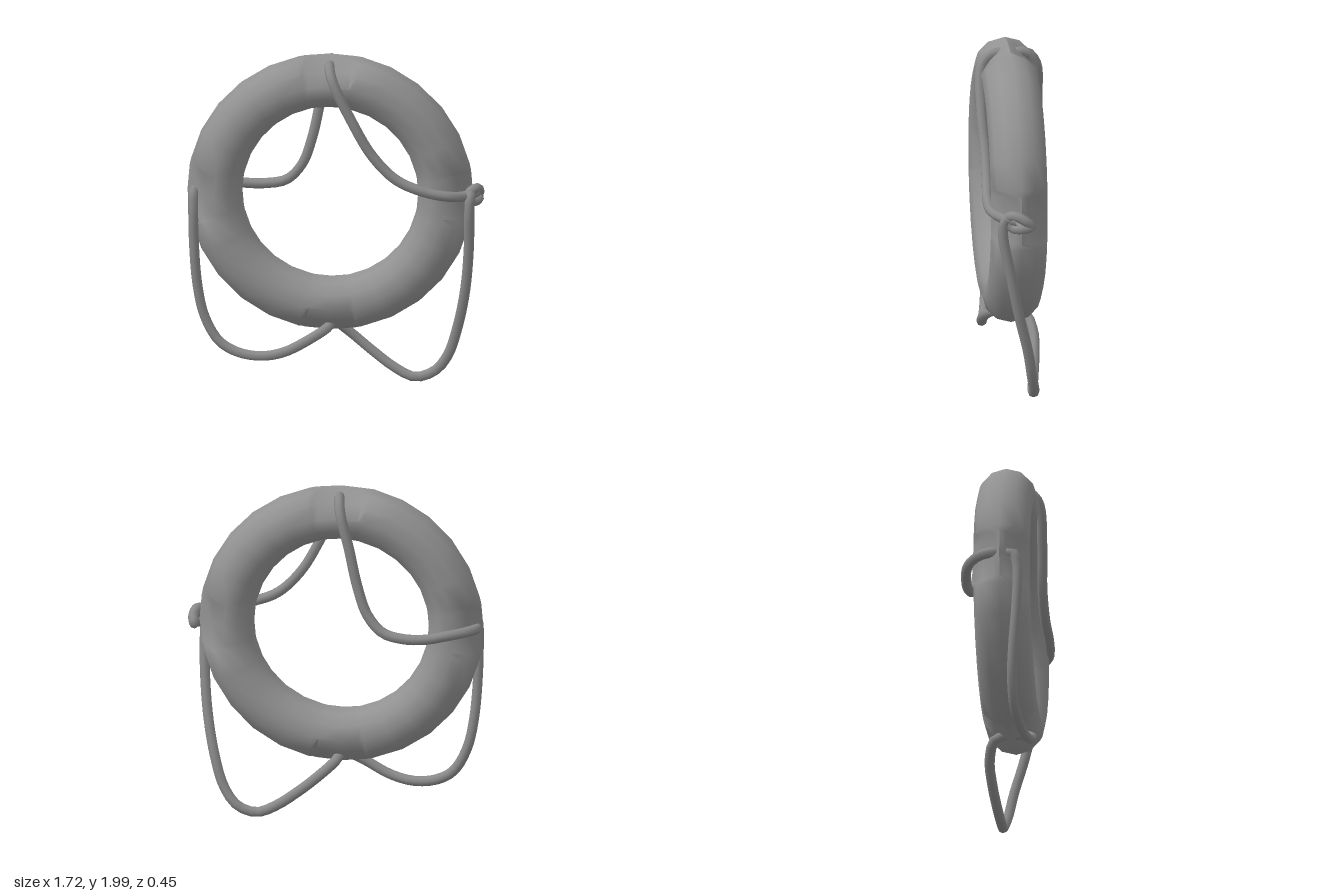
import * as THREE from 'three';
import { toCreasedNormals } from 'three/addons/utils/BufferGeometryUtils.js';

const CENTER = new THREE.Vector3(-0.035, 1.17, 0.015);
const RING_R = 0.67, TUBE_R = 0.16, HALF_DEPTH = 0.165, SIDES = 12;

// Ring with four wedge-shaped rope recesses on its outer rim
function ringGeometry() {
  const offsets = [-12.8, -10, 0, 10, 12.8, 25.5, 38.5, 51.5, 64.5];
  const positions = [], index = [];
  const stations = offsets.length * 4;
  for (let q = 0; q < 4; q++) {
    offsets.forEach((deg) => {
      const u = THREE.MathUtils.degToRad(q * 90 + deg);
      const recessed = Math.abs(deg) < 11;
      for (let j = 0; j < SIDES; j++) {
        const v = (j / SIDES) * Math.PI * 2;
        const c = Math.cos(v), s = Math.sin(v);
        const r = RING_R + TUBE_R * c;
        // recess: the rounded outer half becomes a shallow wedge
        const z = recessed && c > 0.01 ? Math.sign(s) * (1 - c) ** 0.75 : s;
        positions.push(r * Math.cos(u), r * Math.sin(u), (j === 0 ? 0 : z) * HALF_DEPTH);
      }
    });
  }
  for (let i = 0; i < stations; i++) {
    for (let j = 0; j < SIDES; j++) {
      const i2 = (i + 1) % stations, j2 = (j + 1) % SIDES;
      const a = i * SIDES + j, b = i2 * SIDES + j, c = i2 * SIDES + j2, d = i * SIDES + j2;
      index.push(a, b, c, a, c, d);
    }
  }
  const geometry = new THREE.BufferGeometry();
  geometry.setAttribute('position', new THREE.Float32BufferAttribute(positions, 3));
  geometry.setIndex(index);
  return toCreasedNormals(geometry, 1.0);
}

export function createModel() {
  const group = new THREE.Group();
  const material = new THREE.MeshStandardMaterial({ color: 0x929292 });

  const ring = new THREE.Mesh(ringGeometry(), material);
  ring.name = 'ring';
  ring.position.copy(CENTER);
  group.add(ring);

  // Ropes follow smooth curves; their ends sit inside the ring
  const ropeMaterial = new THREE.MeshStandardMaterial({ color: 0x8a8a8a, side: THREE.DoubleSide });
  const addRope = (name, points, closed = false, segments = 40) => {
    const curve = new THREE.CatmullRomCurve3(points.map((p) => new THREE.Vector3(...p)), closed);
    const rope = new THREE.Mesh(new THREE.TubeGeometry(curve, segments, 0.03, 8, closed), ropeMaterial);
    rope.name = name;
    group.add(rope);
  };

  addRope('frontRope', [
    [-0.03, 1.94, 0.01], [-0.035, 1.94, 0.1], [-0.015, 1.88, 0.17], [0.1, 1.64, 0.185],
    [0.22, 1.43, 0.175], [0.36, 1.29, 0.18], [0.52, 1.225, 0.19], [0.66, 1.195, 0.175],
    [0.76, 1.18, 0.1], [0.82, 1.19, 0.04],
  ]);
  addRope('backRope', [
    [-0.03, 1.94, 0.01], [-0.035, 1.945, -0.09], [-0.05, 1.87, -0.15], [-0.1, 1.68, -0.165],
    [-0.15, 1.45, -0.165], [-0.21, 1.28, -0.175], [-0.3, 1.18, -0.19], [-0.42, 1.15, -0.205],
    [-0.55, 1.15, -0.205], [-0.67, 1.17, -0.185], [-0.78, 1.18, -0.12], [-0.835, 1.18, -0.03],
    [-0.81, 1.18, 0.03],
  ]);
  addRope('lowerLoopRight', [
    [-0.8, 1.18, 0.01], [-0.825, 1.18, 0.09], [-0.825, 1.1, 0.115], [-0.82, 0.85, 0.11],
    [-0.8, 0.6, 0.09], [-0.76, 0.42, 0.08], [-0.68, 0.28, 0.085], [-0.58, 0.22, 0.1],
    [-0.44, 0.2, 0.122], [-0.3, 0.23, 0.143], [-0.15, 0.31, 0.145], [-0.04, 0.375, 0.09],
    [-0.03, 0.39, 0.01],
  ]);
  addRope('lowerLoopLeft', [
    [0.79, 1.19, 0.06], [0.785, 1.19, 0.11], [0.78, 1.1, 0.125], [0.775, 0.88, 0.085],
    [0.75, 0.6, 0.03], [0.7, 0.35, -0.03], [0.64, 0.17, -0.06], [0.56, 0.07, -0.08],
    [0.45, 0.035, -0.08], [0.34, 0.08, -0.095], [0.2, 0.18, -0.115], [0.08, 0.28, -0.12],
    [-0.015, 0.365, -0.08], [-0.03, 0.39, 0.01],
  ]);
  // Knot joining the rope ends at the ring's left side
  addRope('knot', [
    [0.775, 1.19, 0.1], [0.81, 1.215, 0.06], [0.83, 1.19, 0], [0.82, 1.15, -0.035],
    [0.825, 1.14, 0.02], [0.785, 1.14, 0.07],
  ], true, 24);

  return group;
}
